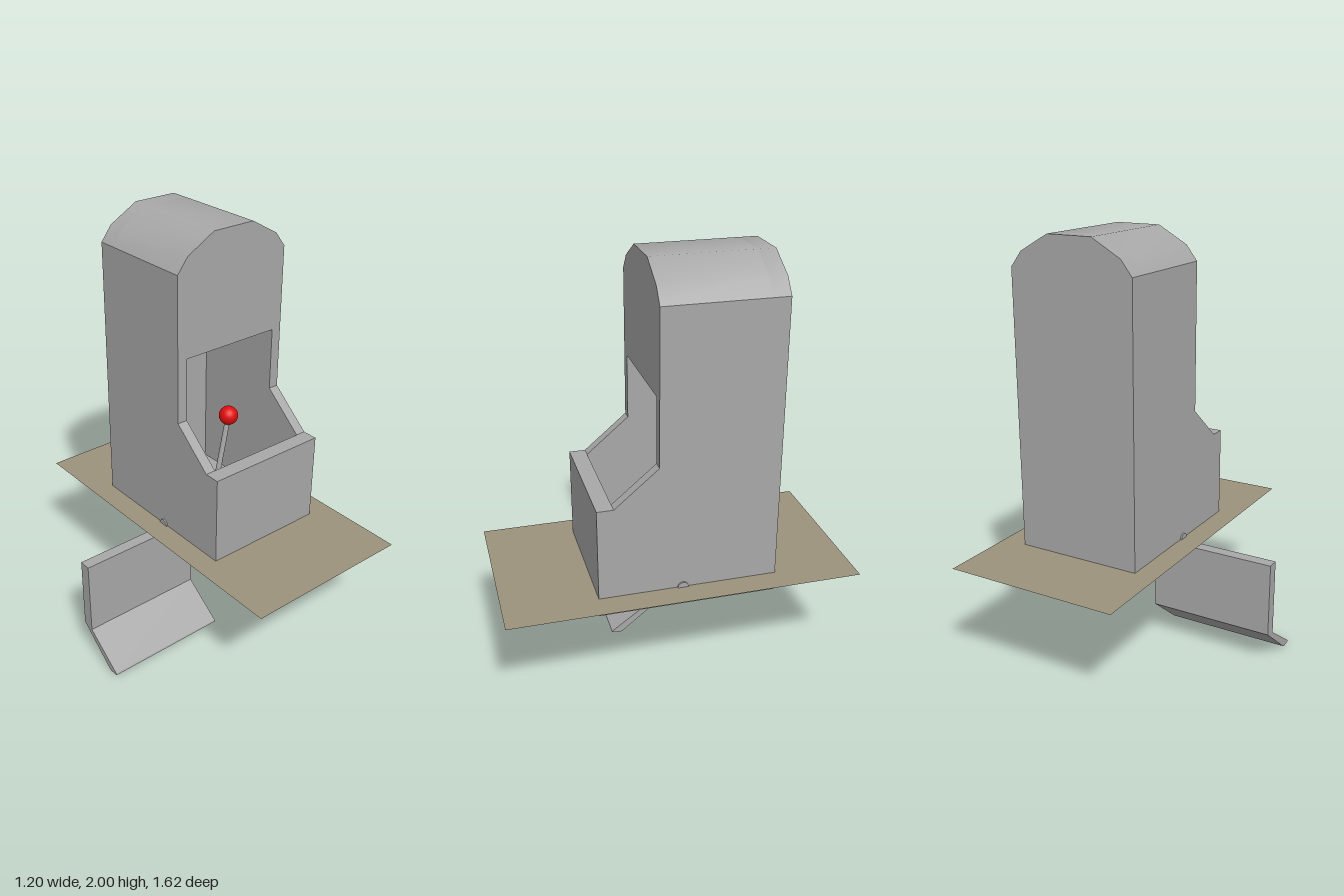
import * as THREE from 'three';
import { toCreasedNormals } from 'three/addons/utils/BufferGeometryUtils.js';

const mat = (name, color) => {
  const m = new THREE.MeshStandardMaterial({ color });
  m.name = name;
  return m;
};

const shapeOf = (pts) => new THREE.Shape(pts.map(([a, b]) => new THREE.Vector2(a, b)));
const rect = (x0, x1, y0, y1) => [[x0, y0], [x1, y0], [x1, y1], [x0, y1]];

function extrude(shape, depth) {
  return new THREE.ExtrudeGeometry(shape, { depth, bevelEnabled: false });
}

// Outline drawn in (x, y), running from z0 to z1
function alongZ(pts, z0, z1) {
  return toCreasedNormals(extrude(shapeOf(pts), z1 - z0).translate(0, 0, z0), 0.6);
}

// Outline drawn in (z, y), running from x0 to x1
function alongX(pts, x0, x1) {
  return extrude(shapeOf(pts), x1 - x0).rotateY(-Math.PI / 2).translate(x1, 0, 0);
}

export function createModel() {
  const group = new THREE.Group();
  const grey = mat('grey metal', 0xa8a8a8);
  const tan = mat('tan ground', 0x9c927c);
  tan.side = THREE.DoubleSide;
  const red = mat('red knob', 0xe00c0c);

  const add = (name, geometry, material = grey) => {
    const mesh = new THREE.Mesh(geometry, material);
    mesh.name = name;
    group.add(mesh);
    return mesh;
  };

  const L = -0.13, R = 0.48, T = 0.05;          // outer sides and wall thickness
  const bottom = 0.455, ceiling = 1.455;
  const axleY = 0.545, midX = 0.175;
  const arch = [[R, 1.85], [0.426, 1.92], [0.286, 2], [0.066, 2], [-0.076, 1.92], [L, 1.85]];

  // Cabin: closed back, then a hollow section open to the front
  add('backWall', alongZ([[L, bottom], [R, bottom], ...arch], -0.44, -0.36));
  add('cabinShell', alongZ([
    [R - T, bottom], [R, bottom], ...arch, [L, bottom],
    [L + T, bottom], [L + T, ceiling], [R - T, ceiling],
  ], -0.36, 0.11));

  // Low front part with sloping cheeks
  const cheek = [[0.11, bottom], [0.31, bottom], [0.31, 0.98], [0.11, 1.15]];
  add('rightCheek', alongX(cheek, L, L + T));
  add('leftCheek', alongX(cheek, R - T, R));
  add('frontWall', alongX(rect(0.31, 0.385, bottom, 0.98), L, R));

  // Floor with a slot for the wheel
  const floor = shapeOf(rect(L + T, R - T, -0.31, 0.36));
  floor.holes.push(shapeOf(rect(midX - 0.05, midX + 0.05, -0.075, 0.075)));
  add('floor', extrude(floor, 0.105).rotateX(-Math.PI / 2).translate(0, bottom, 0));

  // Wheel and axle
  add('wheel', new THREE.CylinderGeometry(0.11, 0.11, 0.09, 32)
    .rotateZ(Math.PI / 2).translate(midX, axleY, 0));
  add('axle', new THREE.CylinderGeometry(0.025, 0.025, 0.625, 24)
    .rotateZ(Math.PI / 2).translate(midX, axleY, 0));

  // Lever leaning from the wheel to the knob
  const from = new THREE.Vector3(midX, axleY, 0);
  const to = new THREE.Vector3(0.27, 1.01, 0);
  const dir = to.clone().sub(from);
  const lever = add('lever', new THREE.CylinderGeometry(0.013, 0.013, dir.length(), 16));
  lever.position.copy(from).add(to).multiplyScalar(0.5);
  lever.quaternion.setFromUnitVectors(new THREE.Vector3(0, 1, 0), dir.normalize());
  add('knob', new THREE.SphereGeometry(0.047, 32, 20), red).position.copy(to);

  // Bent blade below ground
  add('blade', alongX([
    [-0.025, 0.52], [-0.025, 0.165], [0.172, 0.005], [0.185, 0],
    [0.228, 0.004], [0.225, 0.012], [0.032, 0.152], [0.032, 0.52],
  ], -0.6, 0.01));

  // Ground sheet, cut out around the cabin
  const ground = shapeOf(rect(-0.24, 0.6, -0.81, 0.81));
  ground.holes.push(shapeOf(rect(L, R, -0.385, 0.44)));
  add('groundSheet', new THREE.ShapeGeometry(ground)
    .rotateX(-Math.PI / 2).translate(0, axleY, 0), tan);

  return group;
}
